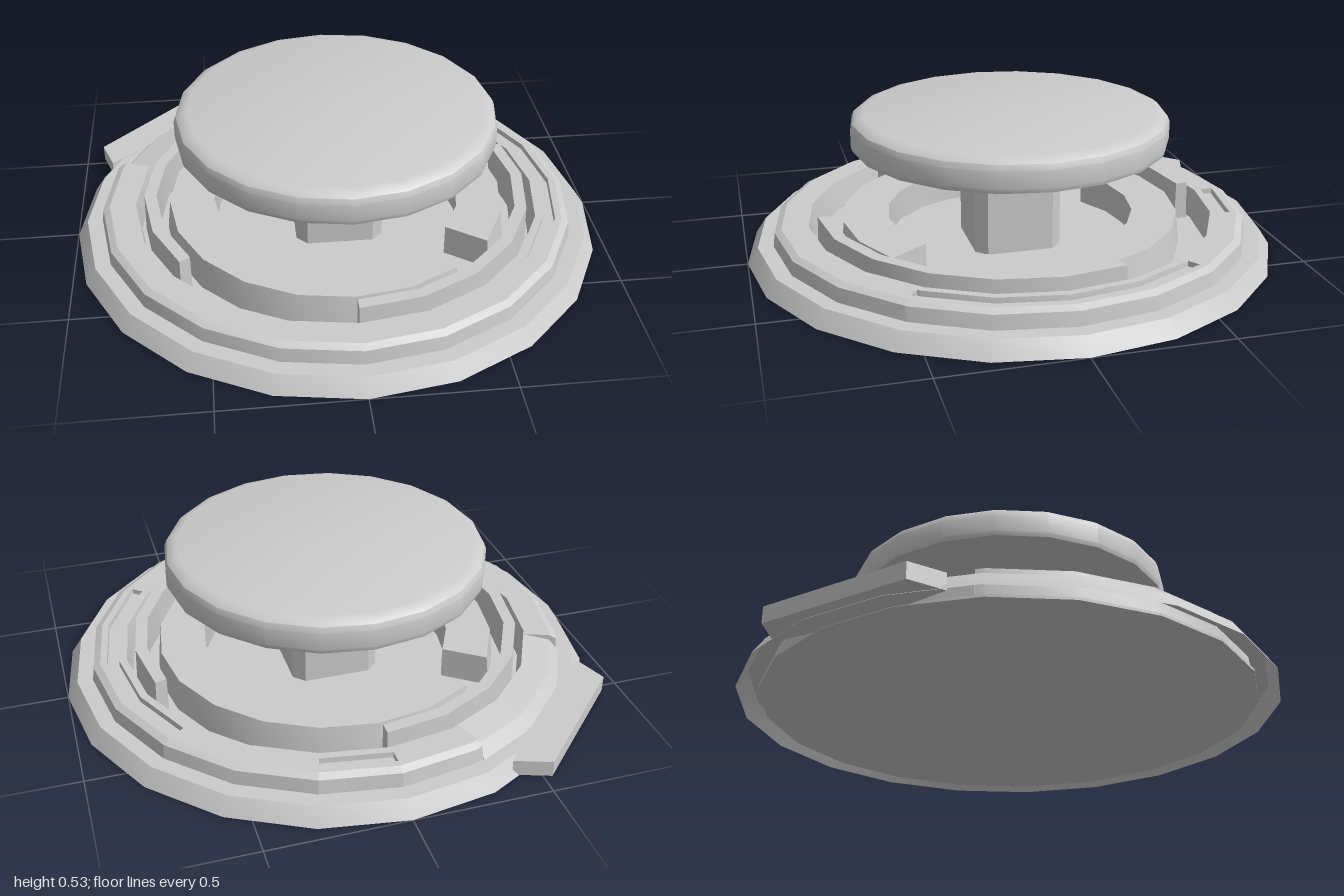
import * as THREE from 'three';
import { toCreasedNormals } from 'three/addons/utils/BufferGeometryUtils.js';

const SIDES = 20;
const STEP = 360 / SIDES;
const RAD = Math.PI / 180;
const material = new THREE.MeshStandardMaterial({ color: 0xcccccc });
const thinMaterial = new THREE.MeshStandardMaterial({ color: 0xcccccc, side: THREE.DoubleSide });

// Point on the 20-sided outline at any angle (0 = +z, 90 = +x)
function place([r, y], angle) {
  const local = ((angle % STEP) + STEP) % STEP;
  const k = Math.cos(STEP / 2 * RAD) / Math.cos((local - STEP / 2) * RAD);
  return [r * k * Math.sin(angle * RAD), y, r * k * Math.cos(angle * RAD)];
}

// Sweep an [r, y] profile (counterclockwise) from one angle to another, capping cut ends
function sweep(profile, from = 0, to = 360, closed = true) {
  const angles = [from];
  for (let a = (Math.floor(from / STEP) + 1) * STEP; a < to - 0.01; a += STEP) angles.push(a);
  angles.push(to);
  const pos = [];
  const tri = (a, b, c) => pos.push(...a, ...b, ...c);
  const count = closed ? profile.length : profile.length - 1;
  for (let i = 0; i < angles.length - 1; i++) {
    for (let j = 0; j < count; j++) {
      const p = profile[j], q = profile[(j + 1) % profile.length];
      const a = angles[i], b = angles[i + 1];
      if (p[0] > 0) tri(place(p, a), place(p, b), place(q, a));
      if (q[0] > 0) tri(place(p, b), place(q, b), place(q, a));
    }
  }
  if (closed && to - from < 360) {
    const faces = THREE.ShapeUtils.triangulateShape(profile.map(p => new THREE.Vector2(...p)), []);
    for (const [a, b, c] of faces) {
      tri(place(profile[a], from), place(profile[b], from), place(profile[c], from));
      tri(place(profile[c], to), place(profile[b], to), place(profile[a], to));
    }
  }
  const g = new THREE.BufferGeometry();
  g.setAttribute('position', new THREE.Float32BufferAttribute(pos, 3));
  return toCreasedNormals(g, 24 * RAD);
}

// Upright prism from an [x, z] outline
function prism(points, y0, y1) {
  const shape = new THREE.Shape(points.map(([x, z]) => new THREE.Vector2(x, -z)));
  const g = new THREE.ExtrudeGeometry(shape, { depth: y1 - y0, bevelEnabled: false });
  return g.rotateX(-Math.PI / 2).translate(0, y0, 0);
}

export function createModel() {
  const model = new THREE.Group();
  const add = (name, geometry, mat = material) => {
    const mesh = new THREE.Mesh(geometry, mat);
    mesh.name = name;
    model.add(mesh);
  };

  // Floor and sloped flange
  add('floor', sweep([[0, 0], [0.92, 0], [0.92, 0.01], [0, 0.01]]));
  add('flange', sweep([[1, 0], [0.96, 0.06], [0.9, 0.06]], 0, 360, false), thinMaterial);

  // Outer ring, left open at the tab, where it slopes down instead
  const b = 0.005;
  const plain = [[0.755, b], [0.91, b], [0.895, 0.112], [0.87, 0.125], [0.77, 0.125]];
  const slotted = [[0.755, b], [0.91, b], [0.895, 0.112], [0.87, 0.125], [0.845, 0.125],
    [0.843, 0.105], [0.8, 0.105], [0.798, 0.125], [0.77, 0.125]];
  const lowered = [[0.755, b], [0.91, b], [0.91, 0.06], [0.87, 0.105], [0.77, 0.125]];
  const outer = [[-110, 53, plain], [53, 126, slotted], [126, 162, plain],
    [162, 180, slotted], [180, 200, plain], [200, 250, lowered]];
  for (const [from, to, profile] of outer) add('outerRing', sweep(profile, from, to));

  // Tab on the back corner
  add('tab', prism([[-0.53, -0.93], [-0.4, -0.885], [-0.62, -0.62], [-0.885, -0.4], [-0.93, -0.53]].reverse(),
    0.002, 0.062));

  // Inner ring in two halves, split by a channel along the diagonal
  const inner = [[0.47, b], [0.655, b], [0.64, 0.13], [0.47, 0.13]];
  for (const start of [54, 234]) add('innerRing', sweep(inner, start, start + 162));

  // Tall arcs standing in the groove
  const arc = [[0.69, b], [0.74, b], [0.735, 0.16], [0.69, 0.16]];
  add('tallArcLeft', sweep(arc, 0, 108));
  add('tallArcRight', sweep(arc, 180, 305));

  // Square post with chamfered corners
  const h = 0.165, c = 0.125;
  add('post', prism([[h, c], [h, -c], [c, -h], [-c, -h], [-h, -c], [-h, c], [-c, h], [c, h]], 0.005, 0.42));

  // Round cap with softened rim
  add('cap', sweep([[0, 0.405], [0.595, 0.405], [0.6, 0.42], [0.6, 0.485], [0.592, 0.505],
    [0.575, 0.518], [0.55, 0.525], [0, 0.527]]));

  // Centre the footprint
  return model;
}
